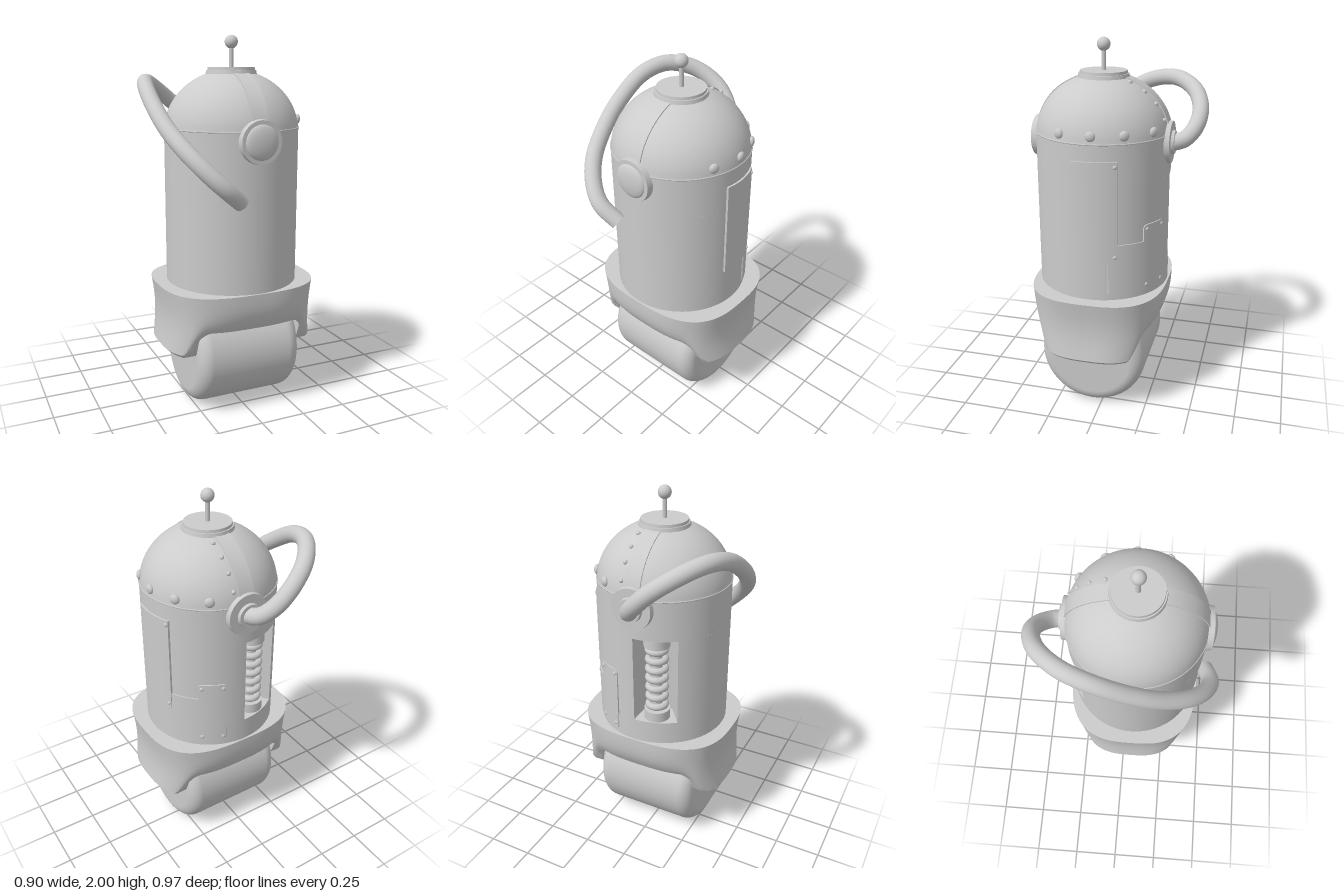
import * as THREE from 'three';
import { toCreasedNormals } from 'three/addons/utils/BufferGeometryUtils.js';

const R = 0.36, DEG = Math.PI / 180;
const DOME_Y = 1.5, DOME_H = 0.325;
const solid = new THREE.MeshStandardMaterial({ color: 0xcccccc });
const sheet = new THREE.MeshStandardMaterial({ color: 0xcccccc, side: THREE.DoubleSide });

function add(parent, name, geo, x = 0, y = 0, z = 0, mat = solid) {
  const m = new THREE.Mesh(geo, mat);
  m.name = name;
  m.position.set(x, y, z);
  parent.add(m);
  return m;
}

// Surface through (nu + 1) x (nv + 1) points given by f(i, j)
function grid(nu, nv, f, crease = 0.6) {
  const pos = [], idx = [], w = nv + 1;
  for (let i = 0; i <= nu; i++) for (let j = 0; j <= nv; j++) pos.push(...f(i, j));
  for (let i = 0; i < nu; i++) for (let j = 0; j < nv; j++) {
    const a = i * w + j, b = a + w;
    idx.push(a, b, a + 1, b, b + 1, a + 1);
  }
  const g = new THREE.BufferGeometry();
  g.setAttribute('position', new THREE.Float32BufferAttribute(pos, 3));
  g.setIndex(idx);
  return toCreasedNormals(g, crease);
}

// Thin plate wrapped on the body between two angles, with rounded corners
function curvedPlate(a0, a1, y0, y1, corner, thick) {
  const n = 32;
  return grid(n, 3, (i, j) => {
    const a = (a0 + (a1 - a0) * i / n) * DEG;
    const edge = Math.min(i, n - i) / n * Math.abs(a1 - a0) * DEG * R;
    const k = Math.max(0, corner - edge);
    const inset = corner - Math.sqrt(corner * corner - k * k);
    const r = (j === 0 || j === 3 || i === 0 || i === n) ? R - 0.01 : R + thick;
    const y = j < 2 ? y0 + inset : y1 - inset;
    return [Math.cos(a) * r, y, Math.sin(a) * r];
  });
}

// Round part facing along z
function disc(r0, r1, h) {
  return new THREE.CylinderGeometry(r1, r0, h, 48).rotateX(Math.PI / 2);
}

function rivet(parent, a, y, r, size) {
  const g = new THREE.SphereGeometry(size, 16, 10).scale(0.6, 1, 1);
  add(parent, 'rivet', g, Math.cos(a * DEG) * r, y, Math.sin(a * DEG) * r).rotation.y = -a * DEG;
}

function buildBody(g) {
  // Shell, split at the recess in the back
  add(g, 'lowerBody', new THREE.CylinderGeometry(R, R, 0.22, 96), 0, 0.71, 0);
  add(g, 'upperBody', new THREE.CylinderGeometry(R, R, 0.215, 96), 0, 1.4175, 0);
  const s = new THREE.Shape();
  s.absarc(0, 0, R, -90 * DEG, 232 * DEG, false);
  s.lineTo(Math.cos(232 * DEG) * 0.22, Math.sin(232 * DEG) * 0.22);
  s.lineTo(0, -0.2);
  const mid = new THREE.ExtrudeGeometry(s, { depth: 0.49, bevelEnabled: false, curveSegments: 90 });
  add(g, 'middleBody', toCreasedNormals(mid.rotateX(Math.PI / 2), 0.5), 0, 1.31, 0);

  // Coil inside the recess
  const a = -109 * DEG, cx = Math.cos(a) * 0.285, cz = Math.sin(a) * 0.285;
  const coil = new THREE.Group();
  coil.name = 'coil';
  coil.position.set(cx, 0, cz);
  g.add(coil);
  add(coil, 'coilCore', new THREE.CylinderGeometry(0.03, 0.03, 0.48, 20), 0, 1.065, 0);
  for (const y of [0.845, 1.285]) add(coil, 'coilMount', new THREE.CylinderGeometry(0.07, 0.07, 0.06, 28), 0, y, 0);
  for (let i = 0; i < 7; i++)
    add(coil, 'coilRing', new THREE.TorusGeometry(0.045, 0.019, 10, 28).rotateX(Math.PI / 2), 0, 0.9 + i * 0.055, 0);

  // Dome
  const prof = [[R, 1.525]];
  for (let i = 0; i <= 24; i++) {
    const p = (86 - i * 86 / 24) * DEG;
    prof.push([R * Math.sin(p), DOME_Y + DOME_H * Math.cos(p)]);
  }
  add(g, 'dome', new THREE.LatheGeometry(prof.map(p => new THREE.Vector2(...p)), 96));
  add(g, 'domeSeam', new THREE.TorusGeometry(R - 0.001, 0.004, 6, 96).rotateX(Math.PI / 2), 0, 1.525, 0);

  // Raised bands over the dome, front and back
  for (const side of [1, -1]) {
    add(g, 'domeBand', grid(24, 3, (i, j) => {
      const p = (18 + 70 * i / 24) * DEG, k = j === 0 || j === 3 ? 0.98 : 1.016;
      const x = (j < 2 ? -0.043 : 0.043), r = R * k * Math.sin(p);
      return [x, DOME_Y + DOME_H * k * Math.cos(p), side * Math.sqrt(Math.max(0, r * r - x * x))];
    }), 0, 0, 0, sheet);
  }

  // Top cap and antenna
  add(g, 'capRim', new THREE.CylinderGeometry(0.132, 0.138, 0.03, 64), 0, 1.805, 0);
  add(g, 'cap', new THREE.CylinderGeometry(0.124, 0.127, 0.03, 64), 0, 1.82, 0);
  add(g, 'antennaRod', new THREE.CylinderGeometry(0.012, 0.012, 0.14, 20), 0, 1.895, 0);
  add(g, 'antennaBall', new THREE.SphereGeometry(0.035, 32, 20), 0, 1.965, 0);

  // Front lens
  add(g, 'lensRing', disc(0.118, 0.11, 0.06), 0, 1.475, 0.345);
  add(g, 'lens', new THREE.SphereGeometry(0.09, 40, 20).scale(1, 1, 0.28), 0, 1.475, 0.372);
  // Back hose port
  add(g, 'portRing', disc(0.11, 0.118, 0.055), 0, 1.475, -0.342);
  add(g, 'portCollar', disc(0.06, 0.068, 0.03), 0, 1.475, -0.37);

  // Side panels with their rivets
  add(g, 'sidePanel', curvedPlate(12.8, -26.4, 0.91, 1.44, 0.004, 0.01), 0, 0, 0, sheet);
  for (const y of [0.935, 1.415]) rivet(g, -23, y, R + 0.01, 0.011);
  add(g, 'cornerPanel', curvedPlate(-16, -74, 0.72, 1.0, 0.03, 0.006), 0, 0, 0, sheet);
  add(g, 'cornerPanelTab', curvedPlate(-48, -74, 0.8, 1.09, 0.03, 0.006), 0, 0, 0, sheet);
  for (const [a, y] of [[-52, 1.065], [-70, 1.065], [-52, 0.75], [-70, 0.75]]) rivet(g, a, y, R + 0.006, 0.011);

  // Rivets around the dome and along the back band
  for (const a of [24, -4, -31, -59]) rivet(g, a, 1.565, R * 0.985, 0.026);
  for (const z of [-0.155, -0.23, -0.29, -0.335]) {
    const x = 0.067, k = (x * x + z * z) / (R * R);
    add(g, 'bandRivet', new THREE.SphereGeometry(0.012, 14, 10), x, DOME_Y + DOME_H * Math.sqrt(1 - k), z);
  }
}

// Collar with a leg on either side of the roller
function buildCollar(g) {
  const n = 120, rows = 12, pw = 2 / 2.9;
  const sp = v => Math.sign(v) * Math.abs(v) ** pw;
  const geo = grid(n, rows + 5, (i, j) => {
    const a = (i % n) / n * Math.PI * 2;
    const x = sp(Math.cos(a)) * 0.43, z = sp(Math.sin(a)) * 0.37;
    const low = 0.355 + 0.15 * THREE.MathUtils.smoothstep(Math.abs(z), 0.245, 0.345);
    if (j === 0) return [x * 0.7, 0.69, z * 0.7];
    const t = Math.min(1, (j - 1) / rows);
    const ox = x * (1 - 0.04 * Math.sin(Math.PI * t)), oz = z * (1 - 0.1 * t ** 3);
    if (j <= rows + 1) return [ox, 0.69 + (low - 0.69) * t, oz];
    if (j === rows + 2) return [ox * 0.96, low - 0.018, oz * 0.97];
    const ix = THREE.MathUtils.clamp(ox * 0.95, -0.3, 0.3), iz = oz * 0.95;
    if (j === rows + 3) return [ix, low - 0.02, iz];
    if (j === rows + 4) return [ix, 0.505, iz];
    return [ix * 0.1, 0.51, iz * 0.1];
  }, 0.7);
  add(g, 'collar', geo, 0, 0, 0, sheet);
}

// Wide roller with rounded shoulders
function buildRoller(g) {
  const h = 0.3, r = 0.295, f = 0.075, pts = [new THREE.Vector2(0, -h)];
  for (const s of [-1, 1])
    for (let i = 0; i <= 10; i++) {
      const p = (s < 0 ? i : 10 - i) / 10 * Math.PI / 2;
      pts.push(new THREE.Vector2(r - f + f * Math.sin(p), s * (h - f + f * Math.cos(p))));
    }
  pts.push(new THREE.Vector2(0, h));
  add(g, 'roller', new THREE.LatheGeometry(pts, 80).rotateZ(Math.PI / 2), 0, 0.296, 0.005);
}

// Hose looping from the back port round the right side to the front
function buildHose(g) {
  const path = new THREE.CatmullRomCurve3([
    [0.02, 1.47, -0.31], [-0.005, 1.49, -0.38], [-0.06, 1.55, -0.43], [-0.14, 1.63, -0.44],
    [-0.25, 1.71, -0.39], [-0.35, 1.755, -0.27], [-0.4, 1.73, -0.12], [-0.41, 1.63, 0.06],
    [-0.39, 1.53, 0.2], [-0.34, 1.43, 0.33], [-0.27, 1.34, 0.41], [-0.19, 1.26, 0.445], [-0.09, 1.18, 0.42],
  ].map(p => new THREE.Vector3(...p)));
  add(g, 'hose', new THREE.TubeGeometry(path, 120, 0.044, 24));
  const end = add(g, 'hoseEnd', new THREE.CircleGeometry(0.044, 24), -0.09, 1.18, 0.42);
  end.quaternion.setFromUnitVectors(new THREE.Vector3(0, 0, 1), path.getTangent(1));
}

export function createModel() {
  const root = new THREE.Group();
  root.name = 'robot';
  const body = new THREE.Group();
  body.name = 'body';
  body.position.set(0.018, 0, 0.05);
  root.add(body);
  buildBody(body);
  buildCollar(body);
  buildRoller(body);
  buildHose(root);
  return root;
}
